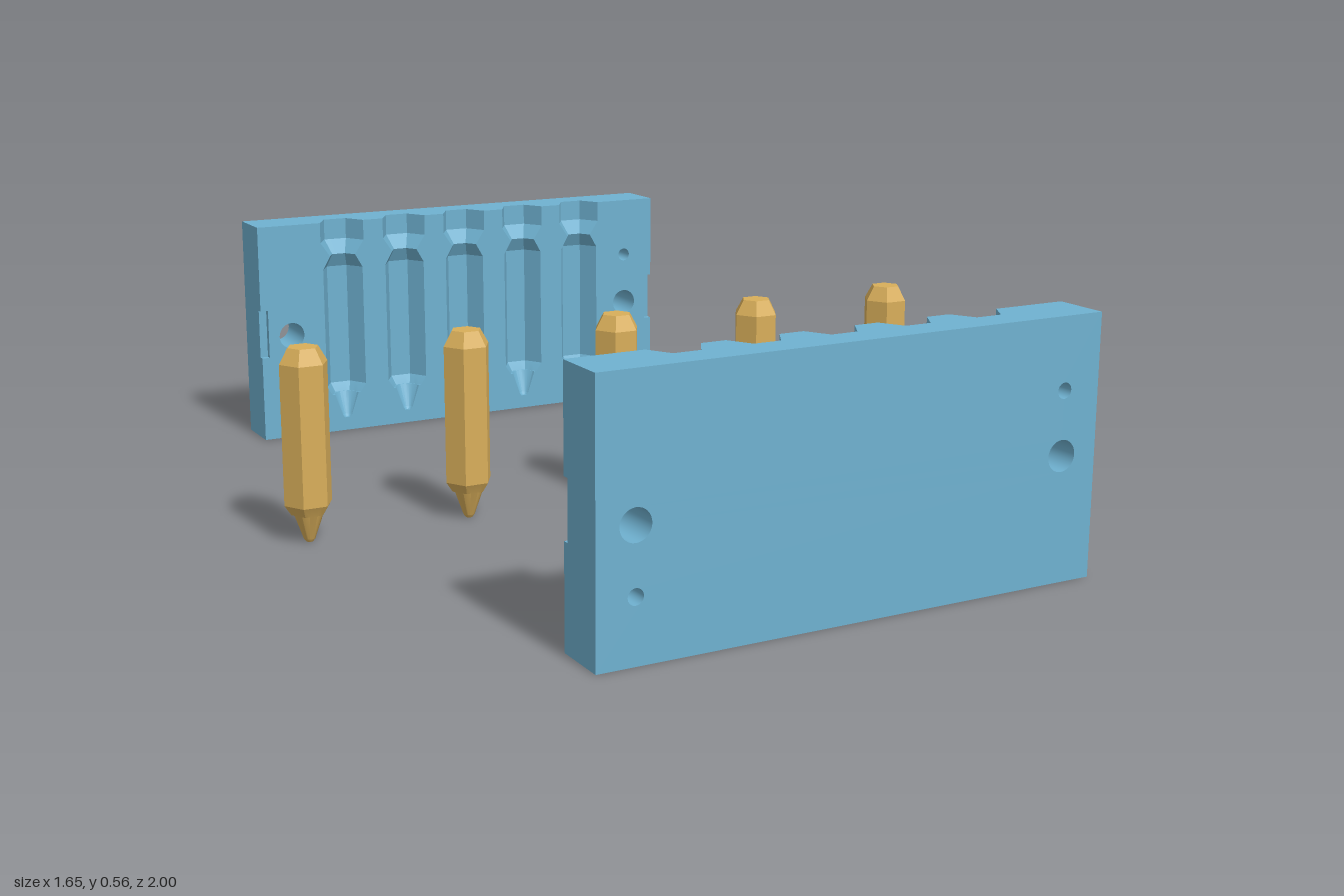
import * as THREE from 'three';
import { toCreasedNormals } from 'three/addons/utils/BufferGeometryUtils.js';

const W = 0.58, H = 0.565, T = 0.125;           // plate half width, height, thickness
const SLOT = { y0: 0.22, y1: 0.345, depth: 0.015, inset: 0.02 };
const CAVITY_X = [-0.35, -0.175, 0, 0.175, 0.35];
const CAVITY_Y = 0.035;
const HOLES = [[-0.497, 0.273, 0.034], [-0.497, 0.136, 0.017], [0.493, 0.273, 0.034], [0.493, 0.41, 0.017]];

// Stick profile: [y, radius, isHexagon]
const STICK = [
  [0, 0, false], [0, 0.008, false], [0.007, 0.013, false], [0.065, 0.033, false],
  [0.065, 0.04, true], [0.088, 0.055, true], [0.405, 0.055, true], [0.44, 0.035, true],
];
// Cavity: the stick shape, then a pouring funnel up to the top edge
const CAVITY = [
  ...STICK.map(([y, r, hex]) => [y + CAVITY_Y, r, hex]),
  [0.512, 0.06, true], [H, 0.06, true],
];

function createMaterials() {
  const make = (name, color) => {
    const m = new THREE.MeshStandardMaterial({ color, side: THREE.DoubleSide });
    m.name = name;
    return m;
  };
  return { blue: make('moldBlue', 0x6fb1d0), gold: make('stickGold', 0xd8ae5a) };
}

// Skin through hexagonal or round rings, over the given arc
function loft(rows, arc, inward) {
  const n = Math.round((24 * arc) / (Math.PI * 2));
  const pos = [], idx = [];
  for (const [y, r, hex] of rows) {
    for (let j = 0; j <= n; j++) {
      const a = (j / n) * arc;
      const k = hex ? Math.cos(Math.PI / 6) / Math.cos((a % (Math.PI / 3)) - Math.PI / 6) : 1;
      pos.push(r * k * Math.cos(a), y, r * k * Math.sin(a));
    }
  }
  for (let i = 0; i < rows.length - 1; i++) {
    for (let j = 0; j < n; j++) {
      const a = i * (n + 1) + j, b = a + 1, d = a + n + 1, c = d + 1;
      if (inward) idx.push(a, c, d, a, b, c);
      else idx.push(a, d, c, a, c, b);
    }
  }
  const g = new THREE.BufferGeometry();
  g.setAttribute('position', new THREE.Float32BufferAttribute(pos, 3));
  g.setIndex(idx);
  return toCreasedNormals(g, 0.35);
}

// Turn a surface to face the other way
function flip(g) {
  const a = g.index.array;
  for (let i = 0; i < a.length; i += 3) [a[i], a[i + 1]] = [a[i + 1], a[i]];
  g.computeVertexNormals();
  return g;
}

const polygon = (pts) => new THREE.Shape(pts.map(([x, y]) => new THREE.Vector2(x, y)));

function drill(shape) {
  for (const [x, y, r] of HOLES) {
    const p = new THREE.Path();
    p.absarc(x, y, r, 0, Math.PI * 2, true);
    shape.holes.push(p);
  }
  return new THREE.ShapeGeometry(shape, 16);
}

// One mold half: parting face at z = 0, outer face at z = T
function createMoldHalf(name, material) {
  const half = new THREE.Group();
  half.name = name;
  const add = (partName, geometry, x = 0, y = 0, z = 0) => {
    const mesh = new THREE.Mesh(geometry, material);
    mesh.name = partName;
    mesh.position.set(x, y, z);
    half.add(mesh);
  };
  const { y0, y1, depth, inset } = SLOT;

  // Parting face, notched by the cavities and the pry slots
  const face = [[-W, 0], [W, 0], [W, y0], [W - inset, y0], [W - inset, y1], [W, y1], [W, H]];
  for (const cx of [...CAVITY_X].reverse()) {
    for (const [y, r] of [...CAVITY].reverse()) face.push([cx + r, y]);
    for (const [y, r] of CAVITY.slice(1)) face.push([cx - r, y]);
  }
  face.push([-W, H], [-W, y1], [-W + inset, y1], [-W + inset, y0], [-W, y0]);
  add('partingFace', flip(drill(polygon(face))));

  // Outer face and bottom
  add('outerFace', drill(polygon([[-W, 0], [W, 0], [W, H], [-W, H]])), 0, 0, T);
  add('bottomFace', new THREE.PlaneGeometry(2 * W, T).rotateX(Math.PI / 2), 0, 0, T / 2);

  // Top face with half-hexagon funnel mouths
  const top = [[-W, 0]];
  for (const cx of CAVITY_X) {
    for (let k = 3; k >= 0; k--) {
      const a = (k * Math.PI) / 3;
      top.push([cx + 0.06 * Math.cos(a), 0.06 * Math.sin(a)]);
    }
  }
  top.push([W, 0], [W, T], [-W, T]);
  add('topFace', flip(new THREE.ShapeGeometry(polygon(top)).rotateX(Math.PI / 2)), 0, H, 0);

  // Cavities
  const cavity = loft(CAVITY, Math.PI, true);
  for (const cx of CAVITY_X) add('cavity', cavity, cx);

  // Bores of the bolt and pin holes
  for (const [x, y, r] of HOLES) {
    const bore = new THREE.CylinderGeometry(r, r, T, 32, 1, true).rotateX(Math.PI / 2);
    add('holeBore', flip(bore), x, y, T / 2);
  }

  // End faces with pry slots
  const end = [[0, 0], [T, 0], [T, H], [0, H], [0, y1], [depth, y1], [depth, y0], [0, y0]];
  const midY = (y0 + y1) / 2;
  for (const s of [-1, 1]) {
    const g = new THREE.ShapeGeometry(polygon(end)).rotateY(-Math.PI / 2);
    add('endFace', s > 0 ? flip(g) : g, s * W);
    const sx = s * (W - inset / 2);
    add('slotFloor', new THREE.PlaneGeometry(inset, y1 - y0).rotateY(Math.PI), sx, midY, depth);
    add('slotBack', new THREE.PlaneGeometry(depth, y1 - y0).rotateY((s * Math.PI) / 2), s * (W - inset), midY, depth / 2);
    add('slotTop', new THREE.PlaneGeometry(inset, depth).rotateX(Math.PI / 2), sx, y1, depth / 2);
    add('slotBottom', new THREE.PlaneGeometry(inset, depth).rotateX(-Math.PI / 2), sx, y0, depth / 2);
  }
  return half;
}

export function createModel() {
  const model = new THREE.Group();
  model.name = 'stickMoldSet';
  const { blue, gold } = createMaterials();

  // Two facing mold halves
  const front = createMoldHalf('frontMoldHalf', blue);
  front.position.z = 1 - T;
  const back = createMoldHalf('backMoldHalf', blue);
  back.position.z = T - 1;
  back.scale.z = -1;
  model.add(front, back);

  // Five cast sticks between the halves
  const stick = loft([...STICK, [0.44, 0, true]], Math.PI * 2, false);
  for (let i = -2; i <= 2; i++) {
    const mesh = new THREE.Mesh(stick, gold);
    mesh.name = 'castStick';
    mesh.position.x = i * 0.385;
    model.add(mesh);
  }
  return model;
}
